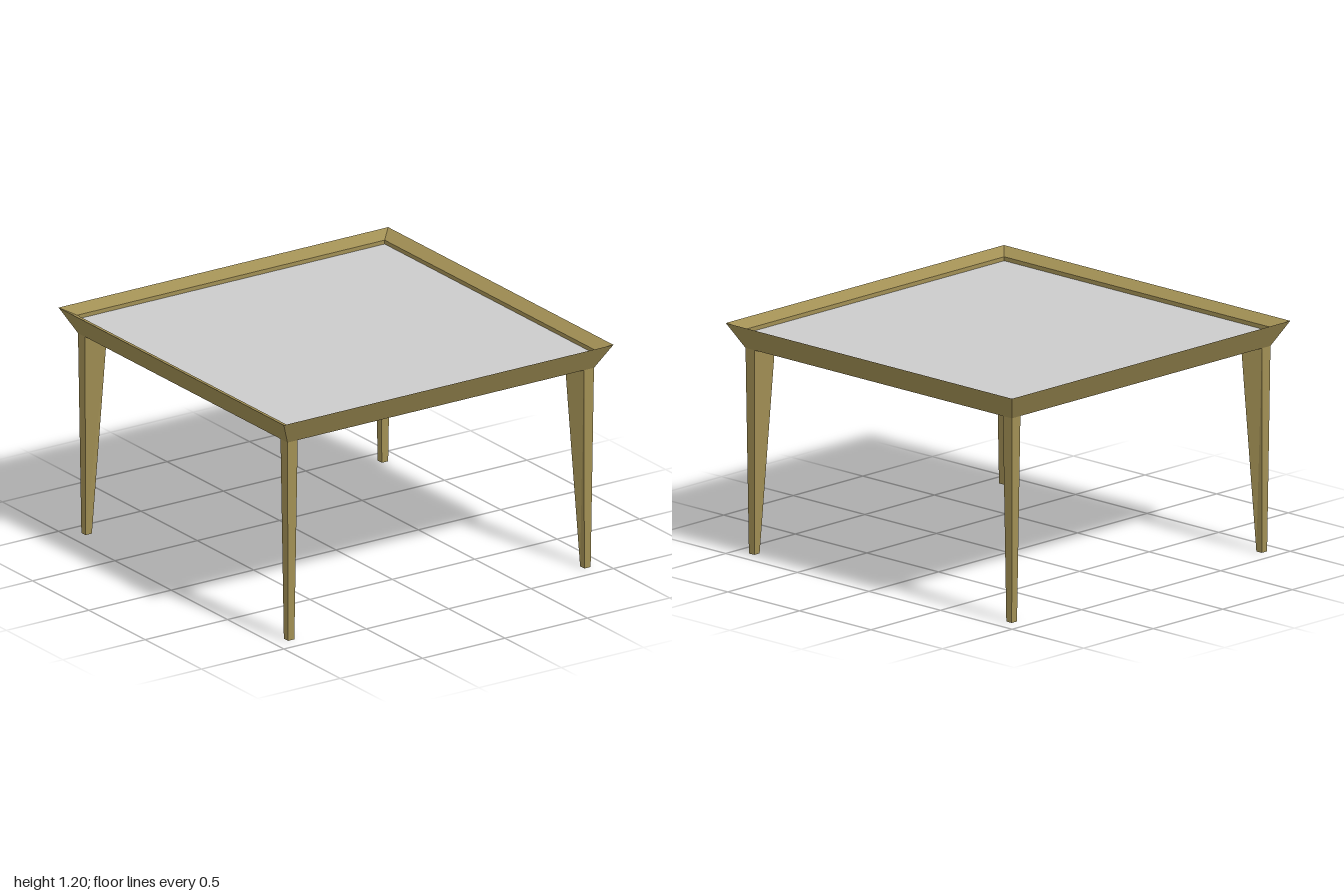
import * as THREE from 'three';

const wood = new THREE.MeshStandardMaterial({ color: 0xa18f54, flatShading: true });
const grey = new THREE.MeshStandardMaterial({ color: 0xcccccc, flatShading: true });

// Square frame: a half-width/height profile swept round four sides
function frameGeometry() {
  const profile = [
    [0.93, 1.07], [1, 1.2],            // outer face leaning outward
    [0.933, 1.166], [0.933, 1.115],    // sloping rim and inner wall
    [0.826, 1.115], [0.826, 1.07],     // ledge under the panel
    [0.93, 1.07],                      // underside
  ].map(([r, y]) => new THREE.Vector2(r * Math.SQRT2, y));
  return new THREE.LatheGeometry(profile, 4, Math.PI / 4);
}

// Tapered leg: kite-shaped at the top, square at the foot
function legGeometry() {
  const geo = new THREE.BoxGeometry(1, 1, 1);
  const p = geo.attributes.position;
  for (let i = 0; i < p.count; i++) {
    const top = p.getY(i) > 0;
    const xOut = p.getX(i) > 0;
    const zOut = p.getZ(i) > 0;
    const outer = top ? 0.93 : 0.918;
    const side = top ? 0.868 : 0.88;
    const inner = top ? 0.826 : 0.88;
    const innermost = !xOut && !zOut;
    const x = innermost ? inner : xOut ? outer : side;
    const z = innermost ? inner : zOut ? outer : side;
    p.setXYZ(i, x, top ? 1.07 : 0, z);
  }
  geo.computeVertexNormals();
  return geo;
}

export function createModel() {
  const table = new THREE.Group();
  table.name = 'table';

  const add = (name, geometry, material) => {
    const mesh = new THREE.Mesh(geometry, material);
    mesh.name = name;
    table.add(mesh);
    return mesh;
  };

  add('frame', frameGeometry(), wood);

  // Recessed top panel
  add('topPanel', new THREE.BoxGeometry(1.866, 0.03, 1.866), grey).position.y = 1.13;

  // One leg per corner
  const leg = legGeometry();
  ['frontLeftLeg', 'backLeftLeg', 'backRightLeg', 'frontRightLeg'].forEach((name, i) => {
    add(name, leg, wood).rotation.y = i * Math.PI / 2;
  });

  return table;
}
